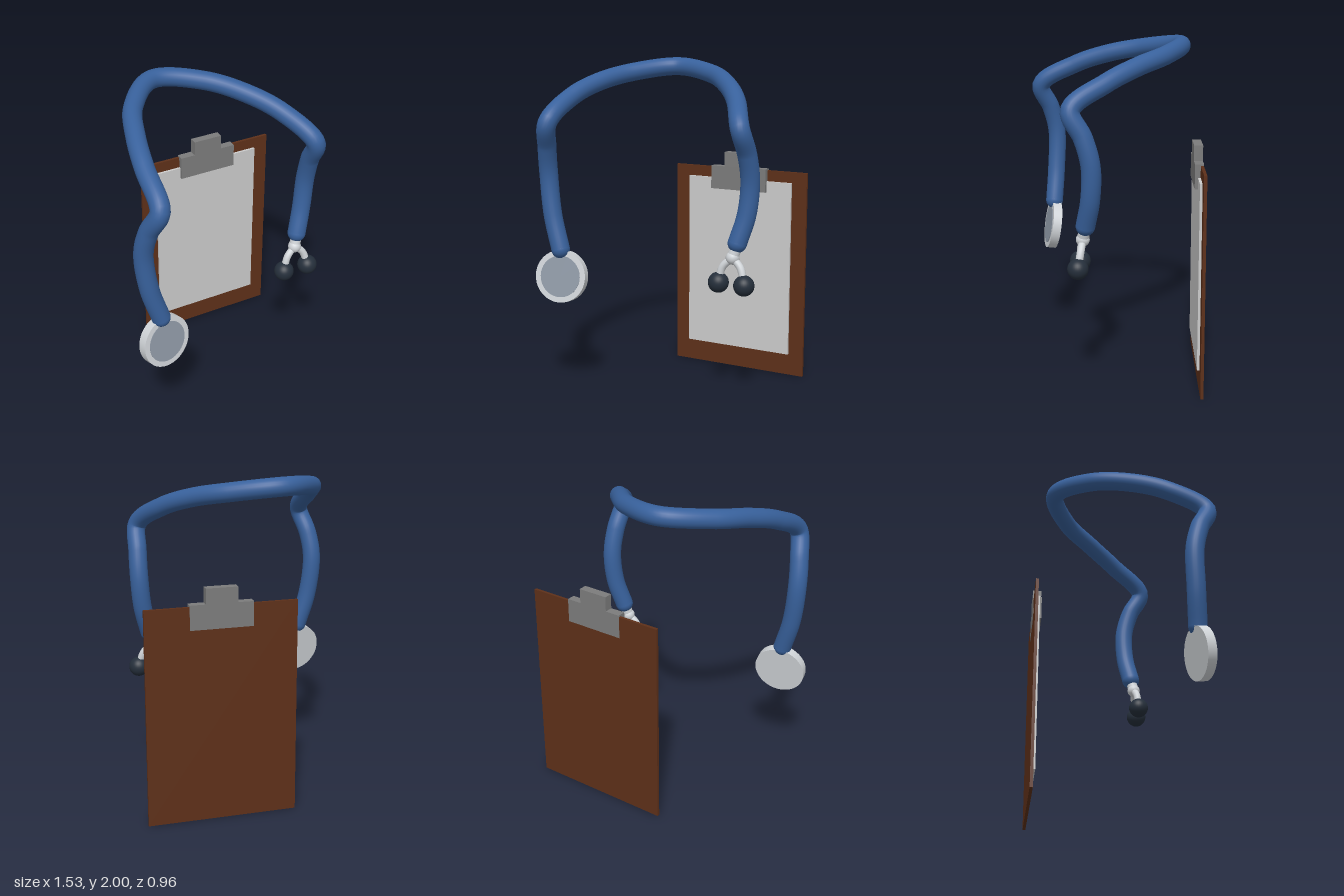
import * as THREE from 'three';

const mat = (color) => new THREE.MeshStandardMaterial({ color });
const V = (x, y, z) => new THREE.Vector3(x, y, z);

export function createModel() {
  const root = new THREE.Group();
  const rubber = mat(0x38619c), wood = mat(0x5e3019), paperGrey = mat(0xcccccc), steel = mat(0x7c7c7c);
  const metal = mat(0xd0d4d8), faceGrey = mat(0x8f99a6), black = mat(0x252f3b);

  const add = (parent, name, geometry, material, x = 0, y = 0, z = 0) => {
    const mesh = new THREE.Mesh(geometry, material);
    mesh.name = name;
    mesh.position.set(x, y, z);
    parent.add(mesh);
    return mesh;
  };
  const ball = (parent, name, r, material, p) =>
    add(parent, name, new THREE.SphereGeometry(r, 32, 20), material, p.x, p.y, p.z);

  // Clipboard, turned slightly about the vertical
  const clipboard = new THREE.Group();
  clipboard.name = 'clipboard';
  clipboard.position.set(0.32, 0, -0.38);
  clipboard.rotation.y = -0.212;
  root.add(clipboard);
  add(clipboard, 'board', new THREE.BoxGeometry(0.9, 1.31, 0.018), wood, 0, 0.655, 0);
  add(clipboard, 'paper', new THREE.BoxGeometry(0.706, 1.105, 0.016), paperGrey, 0, 0.69, 0.016);
  add(clipboard, 'clipPlate', new THREE.BoxGeometry(0.375, 0.147, 0.052), steel, 0, 1.247, 0.016);
  add(clipboard, 'clipTab', new THREE.BoxGeometry(0.188, 0.092, 0.052), steel, 0, 1.366, 0.016);

  // Stethoscope hose: one smooth loop with rounded ends
  const stethoscope = new THREE.Group();
  stethoscope.name = 'stethoscope';
  root.add(stethoscope);
  const R = 0.056;
  const path = [
    V(-0.62, 0.885, 0.345), V(-0.675, 1.09, 0.32), V(-0.7, 1.34, 0.31), V(-0.69, 1.5, 0.35),
    V(-0.658, 1.65, 0.415), V(-0.59, 1.785, 0.2), V(-0.495, 1.86, 0), V(-0.35, 1.91, -0.21),
    V(-0.09, 1.944, -0.365),
    V(0.17, 1.91, -0.21), V(0.315, 1.86, 0), V(0.415, 1.785, 0.2), V(0.488, 1.65, 0.415),
    V(0.517, 1.5, 0.35), V(0.528, 1.34, 0.31), V(0.51, 1.15, 0.31), V(0.462, 0.985, 0.33),
  ];
  const hose = new THREE.CatmullRomCurve3(path);
  add(stethoscope, 'hose', new THREE.TubeGeometry(hose, 160, R, 24), rubber);
  ball(stethoscope, 'hoseEnd', R, rubber, path[0]);
  ball(stethoscope, 'hoseEnd', R, rubber, path[path.length - 1]);

  // Chest piece: thick disc with an inset face, tilted back a little
  const chestPiece = new THREE.Group();
  chestPiece.name = 'chestPiece';
  chestPiece.position.set(-0.61, 0.722, 0.358);
  chestPiece.rotation.x = -0.16;
  stethoscope.add(chestPiece);
  const disc = (name, r, depth, material, z) => {
    add(chestPiece, name, new THREE.CylinderGeometry(r, r, depth, 40), material, 0, 0, z).rotation.x = Math.PI / 2;
  };
  disc('chestDisc', 0.158, 0.056, metal, 0);
  disc('diaphragm', 0.125, 0.01, faceGrey, 0.026);

  // Headset: stem, hub and two bent arms carrying the ear tips
  const hub = V(0.438, 0.9, 0.342);
  const stem = new THREE.LineCurve3(V(0.46, 0.975, 0.332), hub);
  add(stethoscope, 'stem', new THREE.TubeGeometry(stem, 1, 0.034, 20), metal);
  ball(stethoscope, 'hub', 0.04, metal, hub);
  for (const [side, tipZ] of [[-1, 0.343], [1, 0.385]]) {
    const tip = V(0.435 + side * 0.08, 0.75, tipZ);
    const bend = V(0.435 + side * 0.055, 0.845, (hub.z + tipZ) / 2);
    const arm = new THREE.CatmullRomCurve3([hub, bend, tip]);
    add(stethoscope, 'earArm', new THREE.TubeGeometry(arm, 20, 0.022, 16), metal);
    ball(stethoscope, 'earTip', 0.061, black, tip);
  }
  return root;
}
